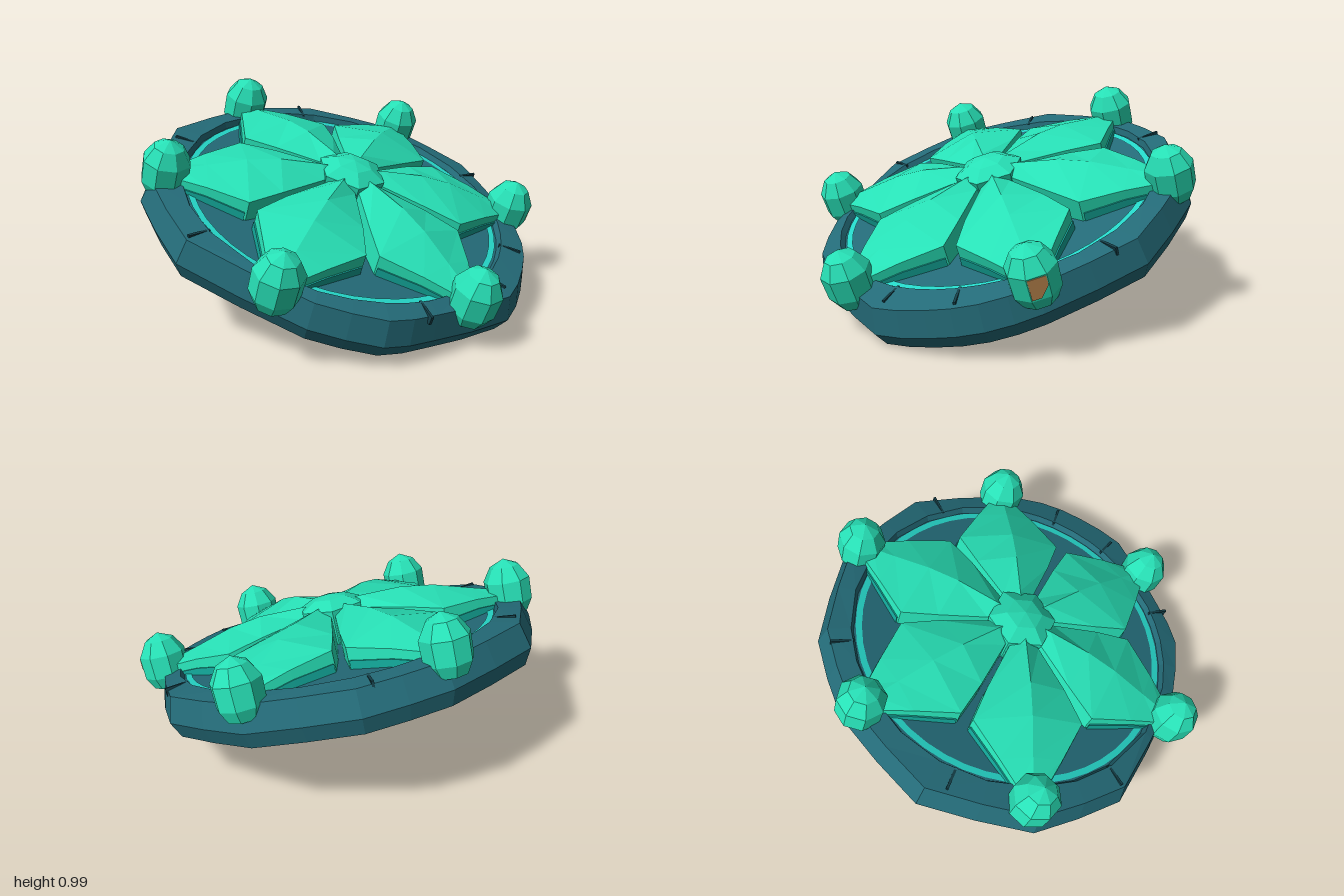
import * as THREE from 'three';

const mat = (name, color) => {
  const m = new THREE.MeshStandardMaterial({ color, flatShading: true });
  m.name = name;
  return m;
};

// Skin a list of equal-length point rings and close both ends
function loft(rings) {
  const n = rings[0].length, index = [];
  rings.slice(1).forEach((_, i) => {
    for (let j = 0; j < n; j++) {
      const a = i * n + j, b = i * n + (j + 1) % n;
      index.push(a, a + n, b, b, a + n, b + n);
    }
  });
  const last = (rings.length - 1) * n;
  for (let j = 1; j < n - 1; j++) {
    index.push(0, j, j + 1, last, last + j + 1, last + j);
  }
  const g = new THREE.BufferGeometry();
  g.setAttribute('position', new THREE.Float32BufferAttribute(rings.flat(2), 3));
  g.setIndex(index);
  g.computeVertexNormals();
  return g;
}

const lathe = (pts, sides, start = 0) =>
  new THREE.LatheGeometry(pts.map(p => new THREE.Vector2(...p)), sides, start);

// Petal cross-section: r along the petal, half width, edge height, ridge height
const section = ([r, w, edge, ridge]) => [
  [r, 0.16, w], [r, edge, w], [r, ridge, 0], [r, edge, -w], [r, 0.16, -w]];

export function createModel() {
  const stone = mat('dark teal stone', 0x246b78);
  const crackMat = mat('crack', 0x143f48);
  const jade = mat('jade green', 0x27e0b6);
  const teal = mat('deep teal', 0x12a597);
  const cyan = mat('cyan', 0x25d6c8);
  const rust = mat('rust', 0xc08a50);

  const model = new THREE.Group();
  model.name = 'flowerDisc';
  const disc = new THREE.Group();
  disc.name = 'tiltedDisc';
  model.add(disc);
  const add = (parent, name, geometry, material) => {
    const m = new THREE.Mesh(geometry, material);
    m.name = name;
    parent.add(m);
    return m;
  };

  // Irregular stone base with a raised rim and recessed floor
  const corners = [
    [-0.04, -0.95], [0.46, -0.836], [0.823, -0.49], [0.932, 0], [0.925, 0.26],
    [0.837, 0.49], [0.686, 0.71], [0.267, 0.878], [0.027, 0.94], [-0.294, 0.857],
    [-0.823, 0.49], [-0.98, 0.04], [-0.847, -0.5], [-0.438, -0.836]];
  const outline = corners.flatMap(([x, z], i) => {
    const [u, v] = corners[(i + 1) % corners.length];
    return [[x, z], [(x + u) / 2 * 1.01, (z + v) / 2 * 1.01]];
  });
  const outer = (f, y) => outline.map(([x, z]) => [x * f, y, z * f]);
  const inner = (r, y) => outline.map(([x, z]) => {
    const k = r / Math.hypot(x, z);
    return [x * k, y, z * k];
  });
  add(disc, 'stoneBase', loft([
    outer(0.96, 0), outer(1, 0.08), outer(0.965, 0.2),
    inner(0.81, 0.215), inner(0.795, 0.185)]), stone);

  // Glowing line around the floor
  const line = add(disc, 'floorRing', new THREE.RingGeometry(0.755, 0.785, 48), cyan);
  line.rotation.x = -Math.PI / 2;
  line.position.y = 0.19;

  // Cracks across the rim
  for (const deg of [-97, -24, 22, 44, 76, 150, 205]) {
    const pivot = new THREE.Group();
    pivot.name = 'rimCrack';
    pivot.rotation.y = -deg * Math.PI / 180;
    add(pivot, 'crack', new THREE.BoxGeometry(0.11, 0.04, 0.012), crackMat)
      .position.set(0.855, 0.194, 0);
    disc.add(pivot);
  }

  // Six petals, each ending in a faceted knob
  const petalGeo = loft([
    [0.06, 0.03, 0.33, 0.37], [0.15, 0.075, 0.33, 0.375], [0.36, 0.19, 0.31, 0.375],
    [0.52, 0.265, 0.285, 0.35], [0.7, 0.15, 0.265, 0.295], [0.82, 0.07, 0.24, 0.26],
  ].map(section));
  const skirtGeo = loft([
    [0.53, 0.267, 0.225, 0.225], [0.7, 0.158, 0.22, 0.22], [0.82, 0.078, 0.2, 0.2],
  ].map(section));
  const knobGeo = lathe([
    [0, 0.125], [0.08, 0.13], [0.112, 0.19], [0.115, 0.3], [0.072, 0.37], [0, 0.405],
  ], 8, Math.PI / 8);
  for (let i = 0; i < 6; i++) {
    const arm = new THREE.Group();
    arm.name = 'petalArm';
    arm.rotation.y = -i * Math.PI / 3;
    add(arm, 'petal', petalGeo, jade);
    add(arm, 'petalSkirt', skirtGeo, teal);
    add(arm, 'knob', knobGeo, jade).position.x = 0.885;
    if (i === 0) {
      // Rust patch on the outer face of one knob
      const patch = new THREE.Shape([[-0.04, 0.295], [0.04, 0.295], [0.04, 0.25],
        [0, 0.2], [-0.04, 0.2]].map(p => new THREE.Vector2(...p)));
      const m = add(arm, 'rustPatch',
        new THREE.ExtrudeGeometry(patch, { depth: 0.006, bevelEnabled: false }), rust);
      m.rotation.y = Math.PI / 2;
      m.position.x = 0.988;
    }
    disc.add(arm);
  }

  // Domed hub
  add(disc, 'hub', lathe([[0.14, 0.18], [0.17, 0.36], [0.09, 0.4], [0, 0.415]], 6), jade);

  // Lean the whole disc toward the front left
  const up = new THREE.Vector3(0.19, 1, 0.305).normalize();
  const side = new THREE.Vector3(1, -0.19, 0).normalize();
  const front = new THREE.Vector3().crossVectors(side, up);
  disc.quaternion.setFromRotationMatrix(new THREE.Matrix4().makeBasis(side, up, front));
  disc.position.set(-0.037, 0.315, -0.035);
  return model;
}
